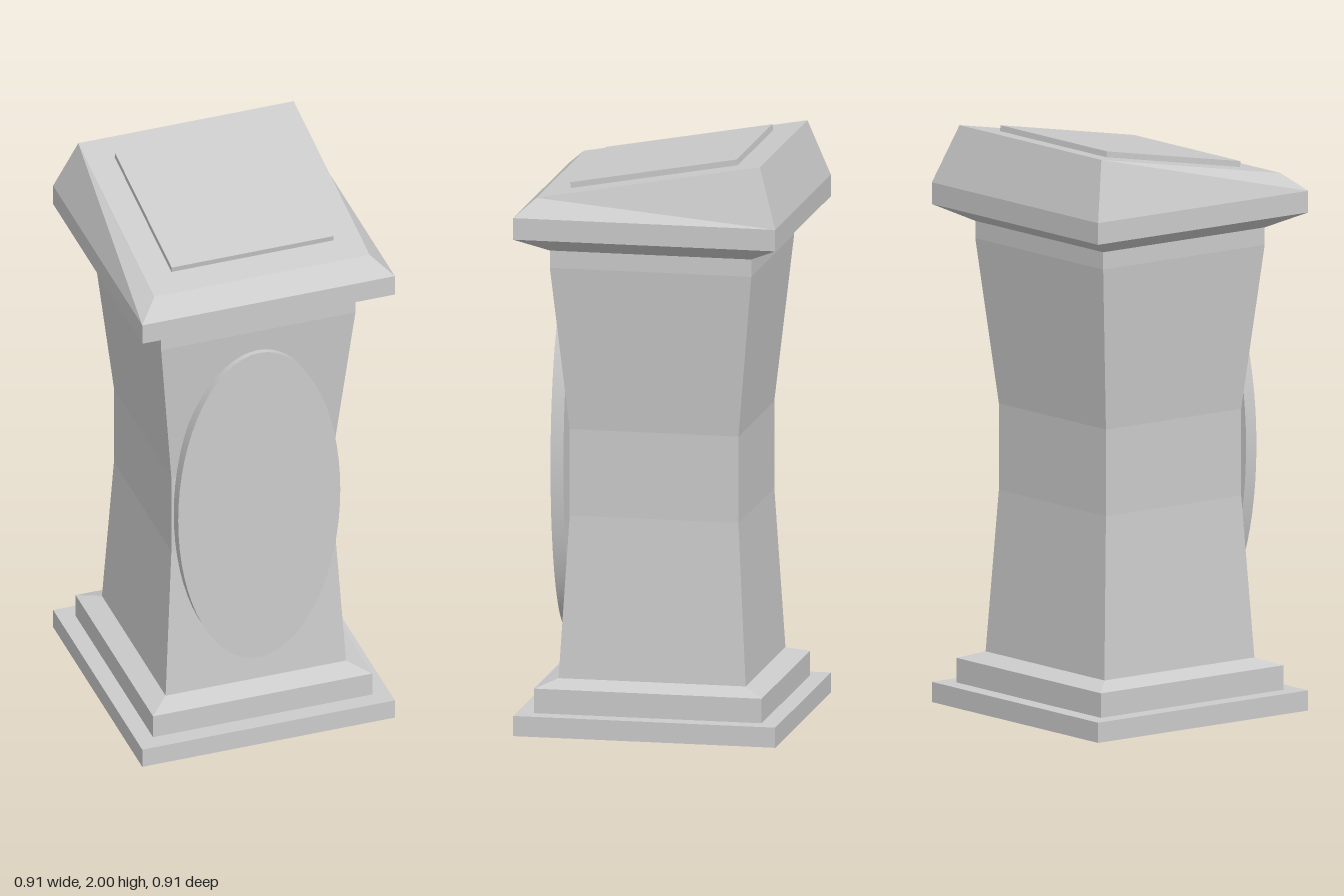
import * as THREE from 'three';

const flat = new THREE.MeshStandardMaterial({ color: 0xcccccc, flatShading: true });
const smooth = new THREE.MeshStandardMaterial({ color: 0xcccccc });

// Square solid from [half width, height] pairs, listed bottom to top and capped at both ends
function squareLoft(profile) {
  const points = profile.map(([half, y]) => new THREE.Vector2(half * Math.SQRT2, y));
  points.unshift(new THREE.Vector2(0, profile[0][1]));
  points.push(new THREE.Vector2(0, profile[profile.length - 1][1]));
  return new THREE.LatheGeometry(points, 4, Math.PI / 4);
}

function finish(geometry) {
  const g = geometry.toNonIndexed();
  g.computeVertexNormals();
  return g;
}

export function createModel() {
  const model = new THREE.Group();
  model.name = 'pedestal';

  const add = (name, geometry, material = flat) => {
    const mesh = new THREE.Mesh(geometry, material);
    mesh.name = name;
    model.add(mesh);
    return mesh;
  };

  // Stepped base with a bevelled upper step
  add('base', finish(squareLoft([
    [0.455, 0], [0.455, 0.07], [0.395, 0.07], [0.395, 0.155], [0.325, 0.18],
  ])));

  // Waisted square shaft
  add('shaft', finish(squareLoft([
    [0.325, 0.18], [0.293, 0.74], [0.293, 1.04], [0.35, 1.61], [0.35, 1.67],
  ])));

  // Cap whose top slopes down to the front
  const slope = 0.14 / 0.772;
  const topY = (z) => 1.93 - z * slope;
  const cap = squareLoft([[0.35, 1.67], [0.455, 1.725], [0.455, 1.8], [0.388, 1.93]]);
  const pos = cap.attributes.position;
  for (let i = 0; i < pos.count; i++) {
    if (pos.getY(i) > 1.9) pos.setY(i, topY(pos.getZ(i)));
  }
  add('cap', finish(cap));

  // Thin plate lying on the sloped top
  const plate = add('topPlate', new THREE.BoxGeometry(0.583, 0.022, 0.588));
  plate.rotation.x = Math.atan(slope);
  plate.position.set(0, topY(0) + 0.009, 0.001);

  // Oval plaque standing on the front of the shaft
  const plaque = new THREE.CylinderGeometry(1, 1, 0.045, 64);
  plaque.rotateX(Math.PI / 2);
  plaque.scale(0.292, 0.62, 1);
  add('ovalPlaque', plaque, smooth).position.set(0, 0.908, 0.3375);

  return model;
}
